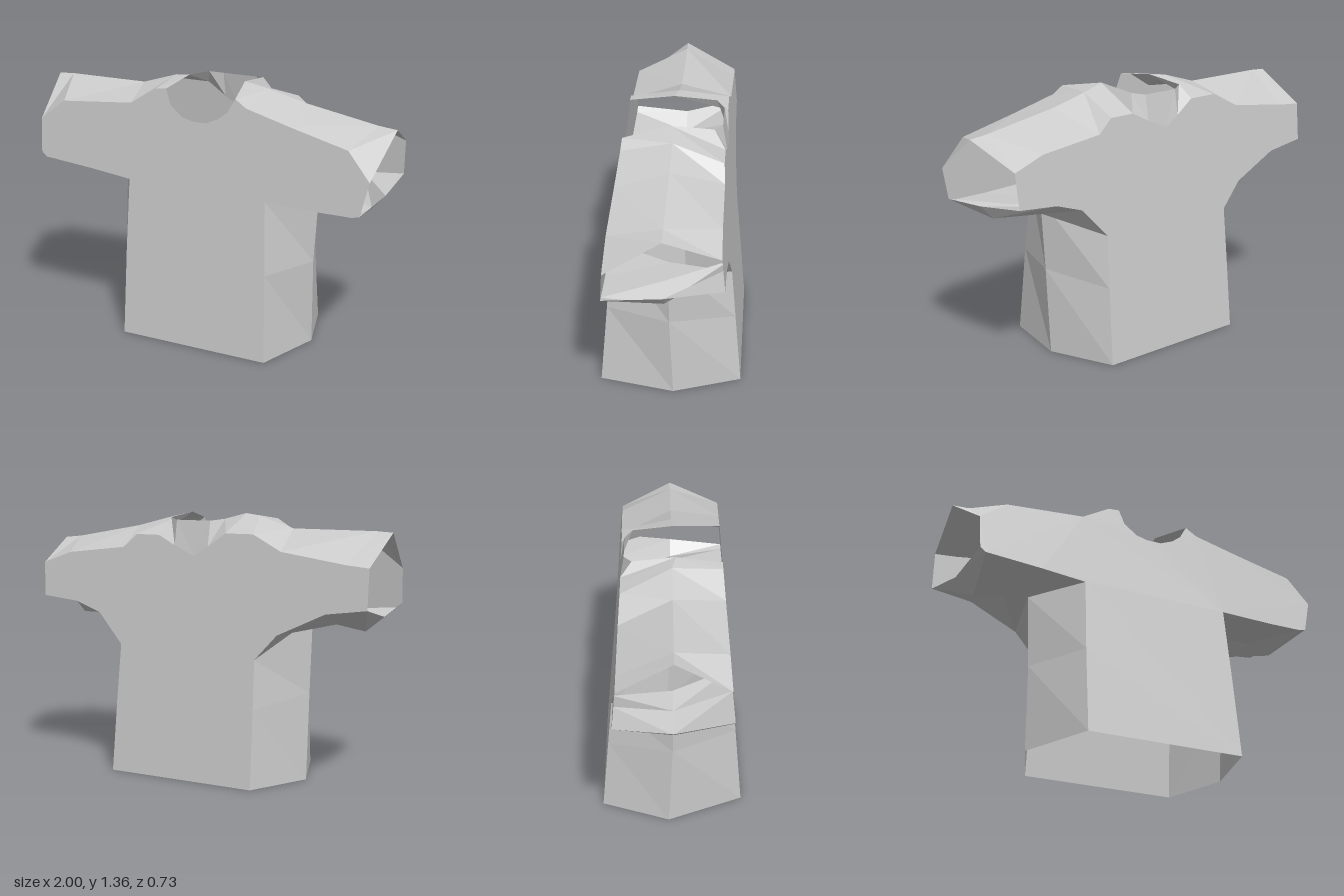
import * as THREE from 'three';

const material = new THREE.MeshStandardMaterial({ color: 0xcccccc, flatShading: true, side: THREE.DoubleSide });

// The front and back lean inward toward the shoulders; ridges run along the middle.
const depth = {
  front: (y) => 0.366 - 0.086 * y,
  back: (y) => 0.088 * y - 0.368,
  ridge: () => 0,
};
const row = (side, pts) => pts.map(([x, y, z]) => new THREE.Vector3(x, y, z ?? depth[side](y)));

function addMesh(group, geometry, name) {
  geometry.computeVertexNormals();
  const mesh = new THREE.Mesh(geometry, material);
  mesh.name = name;
  group.add(mesh);
}

// Folded strip joining rows that have equal numbers of points
function addBand(group, name, rows) {
  const pos = [];
  const tri = (...v) => v.forEach((p) => pos.push(p.x, p.y, p.z));
  for (let r = 0; r < rows.length - 1; r++) {
    const a = rows[r], b = rows[r + 1];
    for (let i = 0; i < a.length - 1; i++) {
      tri(a[i], b[i], a[i + 1]);
      tri(b[i], b[i + 1], a[i + 1]);
    }
  }
  const g = new THREE.BufferGeometry();
  g.setAttribute('position', new THREE.Float32BufferAttribute(pos, 3));
  addMesh(group, g, name);
}

// Flat panel cut to an outline, laid on the leaning plane
function addPanel(group, name, side, outline) {
  const g = new THREE.ShapeGeometry(new THREE.Shape(outline.map((p) => new THREE.Vector2(p.x, p.y))));
  const p = g.attributes.position;
  for (let i = 0; i < p.count; i++) p.setZ(i, depth[side](p.getY(i)));
  if (side === 'back') g.index.array.reverse();
  addMesh(group, g, name);
}

export function createModel() {
  const shirt = new THREE.Group();
  shirt.name = 'shirt';

  // Torso side and underarm, from hem to cuff
  const leftUnder = {
    front: row('front', [[0.47, 0], [0.45, 0.45], [0.43, 0.83], [0.72, 0.82], [0.9, 0.82], [0.94, 0.83]]),
    ridge: row('ridge', [[0.555, 0, -0.02], [0.565, 0.45], [0.59, 0.83], [0.75, 0.83], [0.88, 0.785], [0.95, 0.86]]),
    back: row('back', [[0.43, 0], [0.42, 0.4], [0.41, 0.67], [0.56, 0.83], [0.71, 0.88], [0.93, 0.9]]),
  };
  const rightUnder = {
    front: row('front', [[-0.37, 0], [-0.37, 0.45], [-0.365, 0.835], [-0.6, 0.86], [-0.9, 0.885], [-0.93, 0.91]]),
    ridge: row('ridge', [[-0.545, 0, -0.02], [-0.55, 0.45], [-0.565, 0.84], [-0.7, 0.815], [-0.86, 0.79], [-0.96, 0.87]]),
    back: row('back', [[-0.41, 0], [-0.405, 0.4], [-0.4, 0.65], [-0.52, 0.78], [-0.78, 0.9], [-1, 0.93]]),
  };
  addBand(shirt, 'leftSide', [leftUnder.front, leftUnder.ridge, leftUnder.back]);
  addBand(shirt, 'rightSide', [rightUnder.back, rightUnder.ridge, rightUnder.front]);

  // Shoulder ridges, from right to left
  const rightRidge = row('ridge', [[-1, 1.285], [-0.91, 1.29], [-0.45, 1.29], [-0.25, 1.35], [-0.16, 1.36, 0.02]]);
  const leftRidge = row('ridge', [[0.17, 1.36, 0.02], [0.3, 1.33], [0.5, 1.28], [0.9, 1.21], [1, 1.2]]);
  const rightTop = row('front', [[-0.935, 1.09], [-0.79, 1.2], [-0.37, 1.235], [-0.22, 1.325], [-0.16, 1.33]]);
  const leftTop = row('front', [[0.24, 1.32], [0.3, 1.28], [0.55, 1.215], [0.86, 1.14], [0.98, 1]]);
  addBand(shirt, 'rightShoulderFront', [rightRidge, rightTop]);
  addBand(shirt, 'leftShoulderFront', [leftRidge, leftTop]);

  // Back of the shoulders with the back of the collar
  const collar = row('back', [[-0.165, 1.34, -0.2], [-0.1, 1.33, -0.24], [0.1, 1.33, -0.24], [0.16, 1.34, -0.2]]);
  const backTop = row('back', [
    [-1, 1.13], [-0.88, 1.14], [-0.52, 1.19], [-0.36, 1.27], [-0.26, 1.27], [-0.2, 1.27], [-0.1, 1.2],
    [-0.02, 1.15], [0.1, 1.2], [0.2, 1.25], [0.34, 1.25], [0.42, 1.18], [0.77, 1.14], [0.94, 1.08],
  ]);
  addBand(shirt, 'shouldersBack', [backTop, [...rightRidge, ...collar, ...leftRidge]]);

  // Front panel with scooped neck, and back panel
  const neck = row('front', [[0.2, 1.25], [0.15, 1.21], [0.08, 1.18], [0, 1.18], [-0.06, 1.195], [-0.13, 1.25]]);
  addPanel(shirt, 'frontPanel', 'front', [
    ...leftUnder.front, ...leftTop.toReversed(), ...neck, ...rightTop.toReversed(), ...rightUnder.front.toReversed(),
  ]);
  addPanel(shirt, 'backPanel', 'back', [
    ...leftUnder.back, ...backTop.toReversed(), ...rightUnder.back.toReversed(),
  ]);
  return shirt;
}
